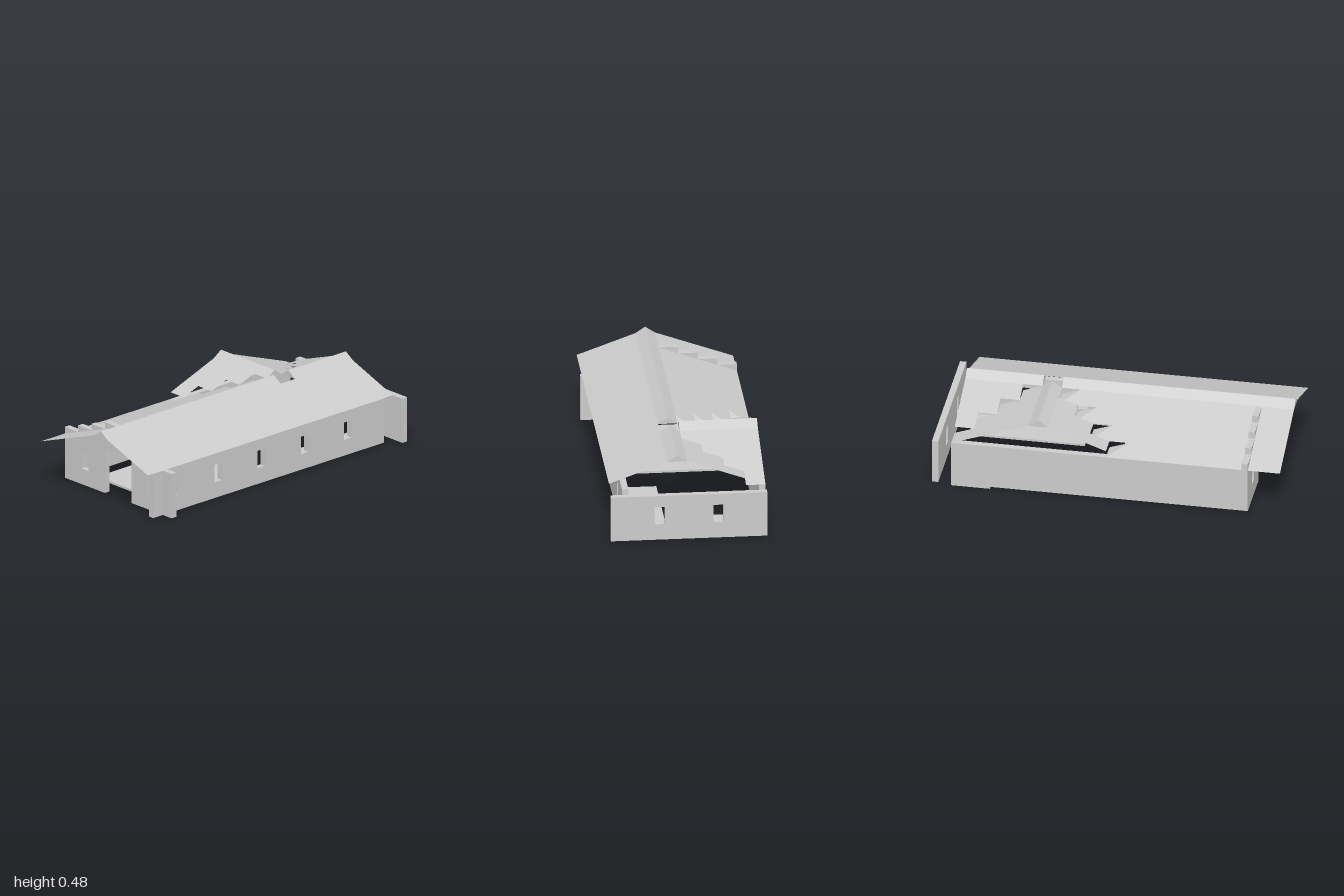
import * as THREE from 'three';

const U = 1 / 9;       // plan grid
const H = 0.04;        // height of one step
const T = 0.037;       // wall thickness
const Y0 = 0.013;      // top of the floor slabs
const EAVE = 0.28;
const W = 4 * U;       // half width
const BACK = -8 * U;   // rear edge of the roof

const solid = new THREE.MeshStandardMaterial({ color: 0xcccccc, flatShading: true });
const sheet = new THREE.MeshStandardMaterial({ color: 0xcccccc, flatShading: true, side: THREE.DoubleSide });

export function createModel() {
  const model = new THREE.Group();

  const add = (name, geometry, material = solid, parent = model) => {
    const mesh = new THREE.Mesh(geometry, material);
    mesh.name = name;
    parent.add(mesh);
    return mesh;
  };
  const group = (name) => {
    const g = new THREE.Group();
    g.name = name;
    model.add(g);
    return g;
  };
  const shapeOf = (pts) => new THREE.Shape(pts.map(([a, b]) => new THREE.Vector2(a, b)));
  const extrude = (shape, depth) => new THREE.ExtrudeGeometry(shape, { depth, bevelEnabled: false });
  const rect = (a0, a1, b0, b1) => [[a0, b0], [a1, b0], [a1, b1], [a0, b1]];

  // Wall outline with windows centred at the given places
  const wallShape = (outline, windows) => {
    const shape = shapeOf(outline);
    for (const c of windows) {
      shape.holes.push(new THREE.Path(
        rect(c - 0.029, c + 0.029, 0.107, 0.213).reverse().map(([a, b]) => new THREE.Vector2(a, b))));
    }
    return shape;
  };

  // Front wall: stepped gable with a tall doorway
  const steps = [[-W, Y0], [-U, Y0], [-U, EAVE], [U, EAVE], [U, Y0], [W, Y0], [W, EAVE]];
  for (let i = 0; i < 7; i++) {
    const x = 3 * U - i * U;
    const y = EAVE + H * (i < 4 ? i + 1 : 7 - i);
    steps.push([x, y], [x - U, y]);
    if (i === 0) steps.splice(steps.length - 2, 0, [x, EAVE]);
  }
  add('frontWall', extrude(wallShape(steps, [-2.5 * U, 2.5 * U]), T).translate(0, 0, 0.778));

  // Back wall stands clear of the roof
  add('backWall', extrude(wallShape(rect(-W, W, Y0, EAVE), [-1.5 * U, 1.5 * U]), T).translate(0, 0, -1));

  // Side walls: outline drawn along z, then turned
  const sideWall = (name, z0, z1, windows, outerX) =>
    add(name, extrude(wallShape(rect(z0, z1, Y0, EAVE), windows), T)
      .rotateY(-Math.PI / 2).translate(outerX, 0, 0));
  sideWall('windowedSideWall', BACK, 8 * U, [6.5, 3.5, 0.5, -2.5, -5.5].map((k) => k * U), 3 * U + T);
  sideWall('plainSideWall', BACK, 0.815, [], -W + T);

  // Floor slabs
  const floor = group('floor');
  for (const [x0, x1, z0, z1] of [[-3, 2, 0, 6], [1, 3, -8, -2], [-4, 0, -8, -6]]) {
    add('floorSlab', new THREE.BoxGeometry((x1 - x0) * U, Y0, (z1 - z0) * U)
      .translate((x0 + x1) * U / 2, Y0 / 2, (z0 + z1) * U / 2), solid, floor);
  }

  // Thin flat panel through its corners, given counter-clockwise from above
  const panel = (name, parent, ...pts) => {
    const pos = [];
    for (let i = 1; i < pts.length - 1; i++) pos.push(...pts[0], ...pts[i], ...pts[i + 1]);
    const g = new THREE.BufferGeometry();
    g.setAttribute('position', new THREE.Float32BufferAttribute(pos, 3));
    g.computeVertexNormals();
    add(name, g, sheet, parent);
  };

  const roof = group('mainRoof');
  const cross = group('crossRoof');
  const TOP = EAVE + 4 * H;

  // Unbroken slope on the windowed side
  panel('longSlope', roof, [U, TOP, 1], [W, TOP - 3 * H, 1], [W, TOP - 3 * H, BACK], [U, TOP, BACK]);

  // Stepped slopes on the other side, one row per grid column
  for (let i = 0; i < 4; i++) {
    const x0 = -W + i * U, x1 = x0 + U;
    const y0 = EAVE + i * H, y1 = y0 + H;
    const mainSlope = (zf, zb) =>
      panel('mainSlope', roof, [x0, y0, zf], [x1, y1, zf], [x1, y1, zb], [x0, y0, zb]);
    const zc = (1 - i) * U;          // front end of the corner piece
    const zs = zc - U;               // front end of the cross slope
    const zb = BACK + i * U;         // rear end of the cross slope
    mainSlope(1, zc);
    if (i > 0) mainSlope(zb, BACK);

    // Pointed corner piece between the two roofs
    panel('cornerPiece', roof, [x0, y0, zs], [x0, y0, zc], [x1, y1, zc]);
    panel('cornerPiece', roof, [x0, y0, zs], [x1, y1, zc], [x1, y0, zs]);

    // Cross slopes falling to the front and rear
    if (i < 3) {
      panel('crossFrontSlope', cross, [x0, y1, zs], [x1, y1, zs], [x1, TOP, -3 * U], [x0, TOP, -3 * U]);
    }
    panel('crossRearSlope', cross, [x0, TOP, -4 * U], [x1, TOP, -4 * U], [x1, y0, zb], [x0, y0, zb]);
  }

  // Ridge caps: the main one is broken beside the cross ridge
  const ridge = (length) => extrude(shapeOf([[0, TOP], [U, TOP], [U / 2, TOP + 0.038]]), length);
  add('frontRidge', ridge(1 + 3 * U).translate(0, 0, -3 * U), sheet, roof);
  add('rearRidge', ridge(4 * U).translate(0, 0, BACK), sheet, roof);
  add('crossRidge', ridge(W).rotateY(-Math.PI / 2).translate(0, 0, -4 * U), sheet, cross);

  return model;
}
